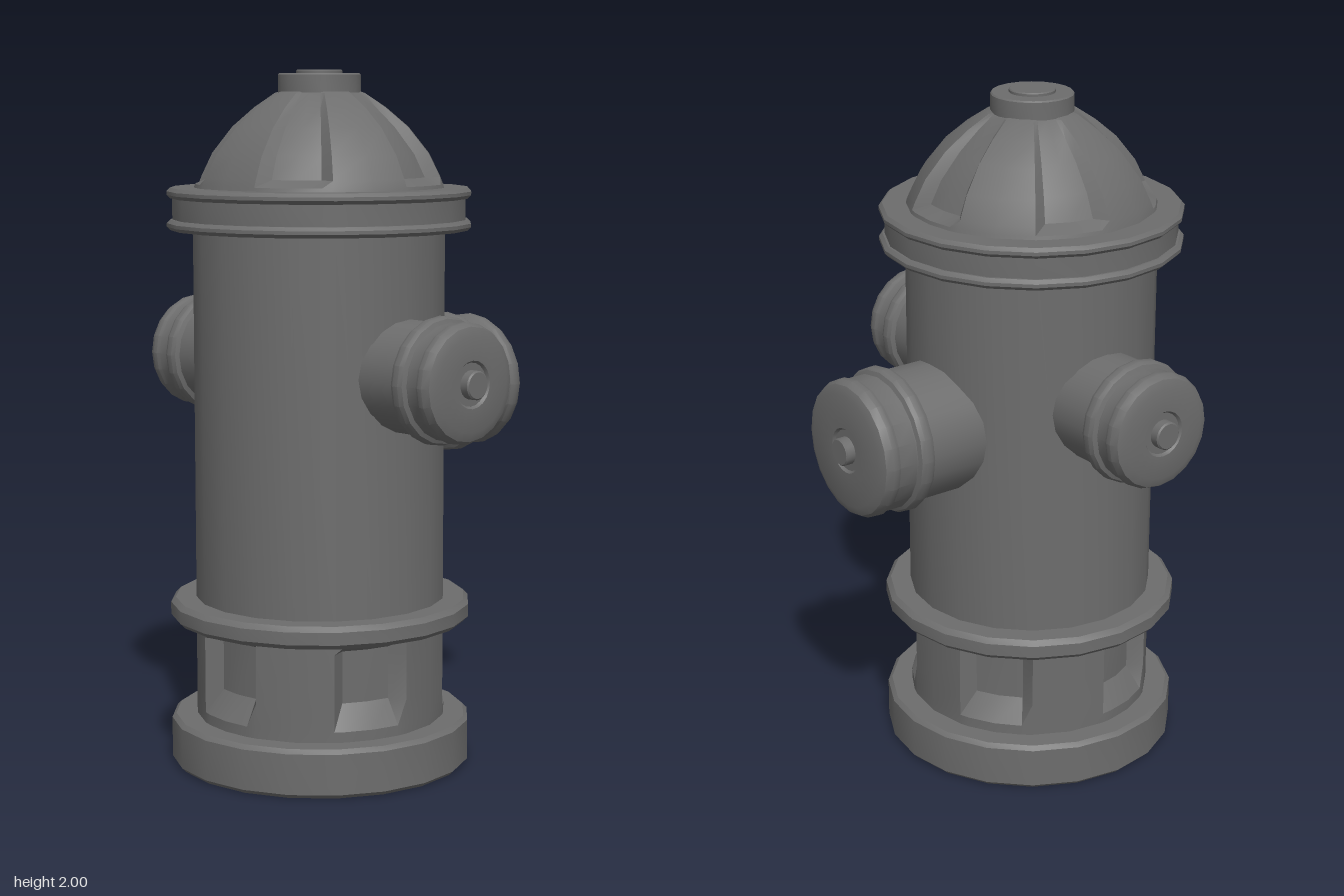
import * as THREE from 'three';
import { toCreasedNormals } from 'three/addons/utils/BufferGeometryUtils.js';

const SIDES = 20;
const material = new THREE.MeshStandardMaterial({ color: 0x6d6d6d });

function makeMesh(name, geometry) {
  const mesh = new THREE.Mesh(toCreasedNormals(geometry, 0.5), material);
  mesh.name = name;
  return mesh;
}

// Turned part; profile is [radius, height] from bottom to top
function turned(name, profile) {
  const points = profile.map(([r, y]) => new THREE.Vector2(r, y));
  return makeMesh(name, new THREE.LatheGeometry(points, SIDES));
}

// Closed disc with bevelled rims
function disc(name, r, y0, y1, b) {
  return turned(name, [[0, y0], [r - b, y0], [r, y0 + b], [r, y1 - b], [r - b, y1], [0, y1]]);
}

// Turned wall with five sunken panels; rows are [radius, height, panel depth]
function panelled(name, rows, offset, inset) {
  const columns = [];
  for (let i = 0; i < 5; i++) {
    const start = offset + i * 72 - 18;
    columns.push([start, 0], [start + inset, 1], [start + 18, 1],
      [start + 36 - inset, 1], [start + 36, 0], [start + 54, 0]);
  }
  const positions = [];
  const index = [];
  const n = columns.length;
  for (const [r, y, depth] of rows) {
    for (const [angle, sunk] of columns) {
      const t = THREE.MathUtils.degToRad(angle);
      const radius = r - depth * sunk;
      positions.push(Math.sin(t) * radius, y, Math.cos(t) * radius);
    }
  }
  for (let j = 0; j < rows.length - 1; j++) {
    for (let i = 0; i < n; i++) {
      const a = j * n + i;
      const b = j * n + (i + 1) % n;
      index.push(a, b, b + n, a, b + n, a + n);
    }
  }
  const geometry = new THREE.BufferGeometry();
  geometry.setAttribute('position', new THREE.Float32BufferAttribute(positions, 3));
  geometry.setIndex(index);
  return makeMesh(name, geometry);
}

// Hose outlet pointing along +y: pipe, bead, rounded cap and bolt
function outlet(name, r, bead, end) {
  const group = new THREE.Group();
  group.name = name;
  group.add(
    turned(name + 'Pipe', [[r - 0.003, 0.2], [r - 0.003, bead + 0.1]]),
    turned(name + 'Bead', [[r - 0.01, bead], [r + 0.01, bead + 0.008], [r + 0.016, bead + 0.02],
      [r + 0.016, bead + 0.038], [r + 0.01, bead + 0.05], [r - 0.01, bead + 0.058]]),
    turned(name + 'Cap', [[r - 0.01, bead + 0.055], [r, bead + 0.06], [r, end - 0.055],
      [r + 0.005, end - 0.045], [r + 0.005, end - 0.03], [r - 0.005, end - 0.01],
      [r - 0.03, end], [0.066, end], [0.06, end - 0.008], [0, end - 0.008]]),
    disc(name + 'Bolt', 0.04, end - 0.02, end + 0.02, 0.004),
  );
  return group;
}

export function createModel() {
  const model = new THREE.Group();
  model.name = 'hydrant';
  const column = new THREE.Group();
  column.name = 'column';
  column.position.z = 0.117;
  model.add(column);

  // Foot, recessed neck and barrel
  column.add(
    disc('baseFlange', 0.436, 0, 0.14, 0.012),
    panelled('neck', [[0.362, 0.13, 0], [0.362, 0.17, 0], [0.362, 0.24, 0.045],
      [0.362, 0.39, 0.045], [0.362, 0.415, 0], [0.362, 0.44, 0]], 0, 5),
    disc('lowerRing', 0.436, 0.423, 0.487, 0.014),
    turned('barrel', [[0.362, 0.47], [0.362, 1.58]]),
  );

  // Double collar
  column.add(
    disc('collarLowerRing', 0.436, 1.55, 1.58, 0.01),
    turned('collarBand', [[0.42, 1.57], [0.42, 1.65]]),
    disc('collarUpperRing', 0.436, 1.64, 1.67, 0.01),
  );

  // Bonnet with sunken panels that fade out toward the crown
  column.add(
    panelled('bonnet', [[0.361, 1.66, 0], [0.355, 1.68, 0], [0.347, 1.7, 0.038], [0.315, 1.765, 0.037],
      [0.255, 1.84, 0.034], [0.19, 1.895, 0.024], [0.13, 1.935, 0.01], [0.1, 1.945, 0]], 180, 5),
    disc('crownPlate', 0.118, 1.93, 1.99, 0.004),
    disc('crownNut', 0.066, 1.98, 2, 0.003),
  );

  // Two side outlets and a larger, lower rear outlet
  for (const side of [1, -1]) {
    const port = outlet(side > 0 ? 'leftOutlet' : 'rightOutlet', 0.162, 0.457, 0.605);
    port.position.set(0, 1.158, -0.008);
    port.rotation.z = -side * Math.PI / 2;
    column.add(port);
  }
  const rear = outlet('rearOutlet', 0.195, 0.482, 0.652);
  rear.position.y = 1.067;
  rear.rotation.x = -Math.PI / 2;
  column.add(rear);

  return model;
}
